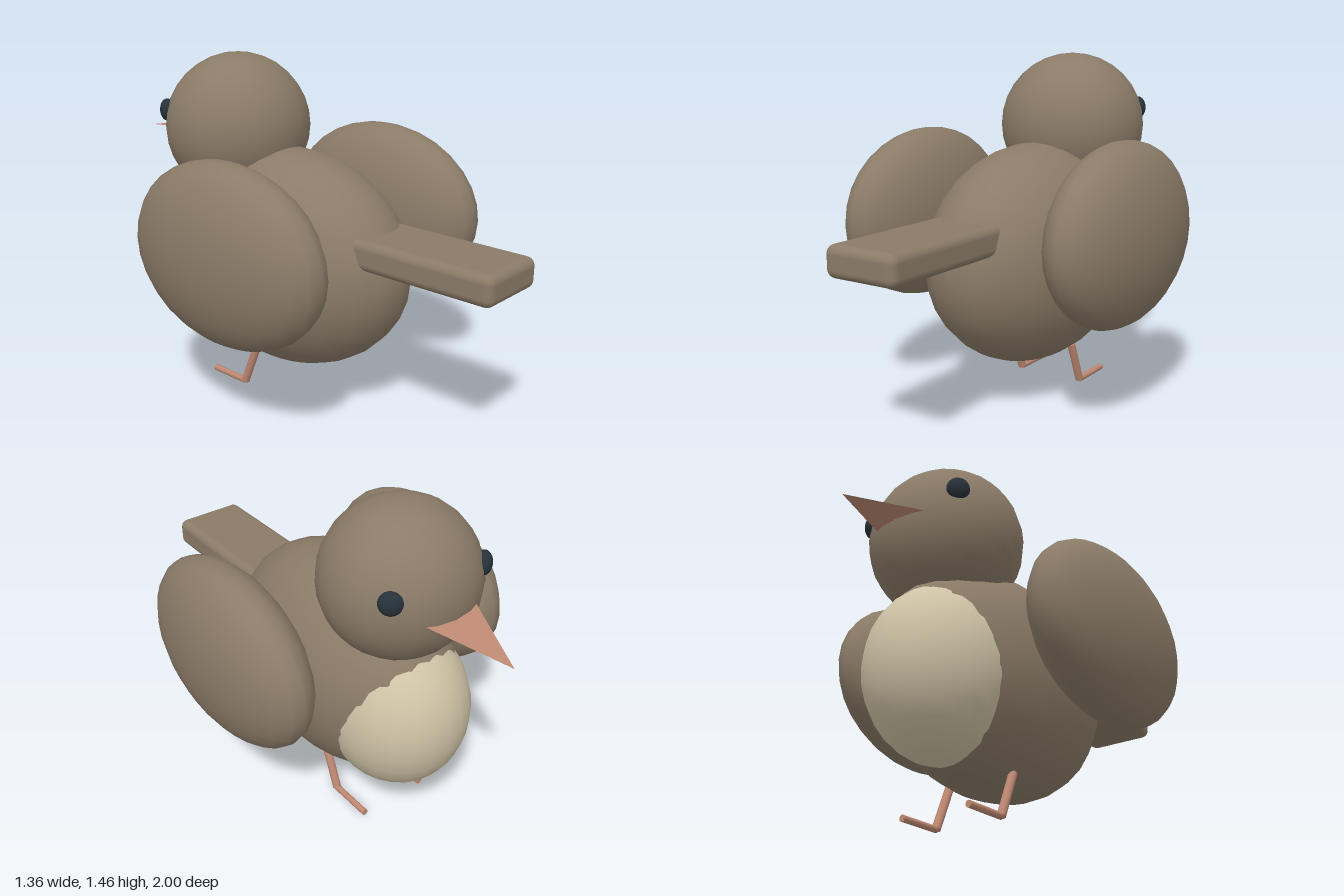
import * as THREE from 'three';
import { RoundedBoxGeometry } from 'three/addons/geometries/RoundedBoxGeometry.js';

const mat = (color, side = THREE.FrontSide) => new THREE.MeshStandardMaterial({ color, side });

export function createModel() {
  const bird = new THREE.Group();
  bird.name = 'bird';
  const brown = mat(0x8b7b68);
  const cream = mat(0xcfc3a6);
  const salmon = mat(0xbf8973);
  const salmonThin = mat(0xbf8973, THREE.DoubleSide);
  const dark = mat(0x28323a);

  function add(name, geometry, material, position = [0, 0, 0]) {
    const mesh = new THREE.Mesh(geometry, material);
    mesh.name = name;
    mesh.position.set(...position);
    bird.add(mesh);
    return mesh;
  }

  // Ellipsoid with the given centre and radii
  function ellipsoid(name, material, position, radii) {
    const geometry = new THREE.SphereGeometry(1, 24, 16);
    geometry.scale(...radii);
    return add(name, geometry, material, position);
  }

  // Round rod between two points
  function rod(name, from, to, radius) {
    const a = new THREE.Vector3(...from);
    const dir = new THREE.Vector3(...to).sub(a);
    const mesh = add(name, new THREE.CylinderGeometry(radius, radius, dir.length(), 10), salmon);
    mesh.position.copy(a).addScaledVector(dir, 0.5);
    mesh.quaternion.setFromUnitVectors(new THREE.Vector3(0, 1, 0), dir.normalize());
  }

  // Body, belly patch and head
  ellipsoid('body', brown, [0, 0.615, -0.09], [0.366, 0.47, 0.59]);
  ellipsoid('belly', cream, [0, 0.555, -0.416], [0.292, 0.36, 0.32]);
  ellipsoid('head', brown, [0, 1.14, -0.408], [0.32, 0.317, 0.312]);

  // Flat tail
  add('tail', new RoundedBoxGeometry(0.32, 0.124, 0.8, 4, 0.035), brown, [0, 0.763, 0.6]);

  // Thin triangular beak, dipping slightly to its tip
  const outline = new THREE.Shape();
  outline.moveTo(-0.15, 0);
  outline.lineTo(0.15, 0);
  outline.lineTo(0, 0.385);
  const beak = add('beak', new THREE.ShapeGeometry(outline), salmonThin, [0, 1.124, -0.62]);
  beak.rotation.x = -Math.PI / 2 - 0.165;

  // Paired parts
  for (const [label, s] of [['left', 1], ['right', -1]]) {
    ellipsoid(label + 'Wing', brown, [s * 0.487, 0.763, 0.025], [0.192, 0.372, 0.495]);

    const eye = ellipsoid(label + 'Eye', dark, [s * 0.225, 1.212, -0.615], [0.046, 0.048, 0.032]);
    eye.rotation.y = s * Math.PI * 0.75;

    rod(label + 'Leg', [s * 0.155, 0.2, -0.16], [s * 0.155, 0.015, -0.235], 0.018);
    rod(label + 'Foot', [s * 0.155, 0.014, -0.235], [s * 0.155, 0.014, -0.43], 0.014);
  }

  return bird;
}
